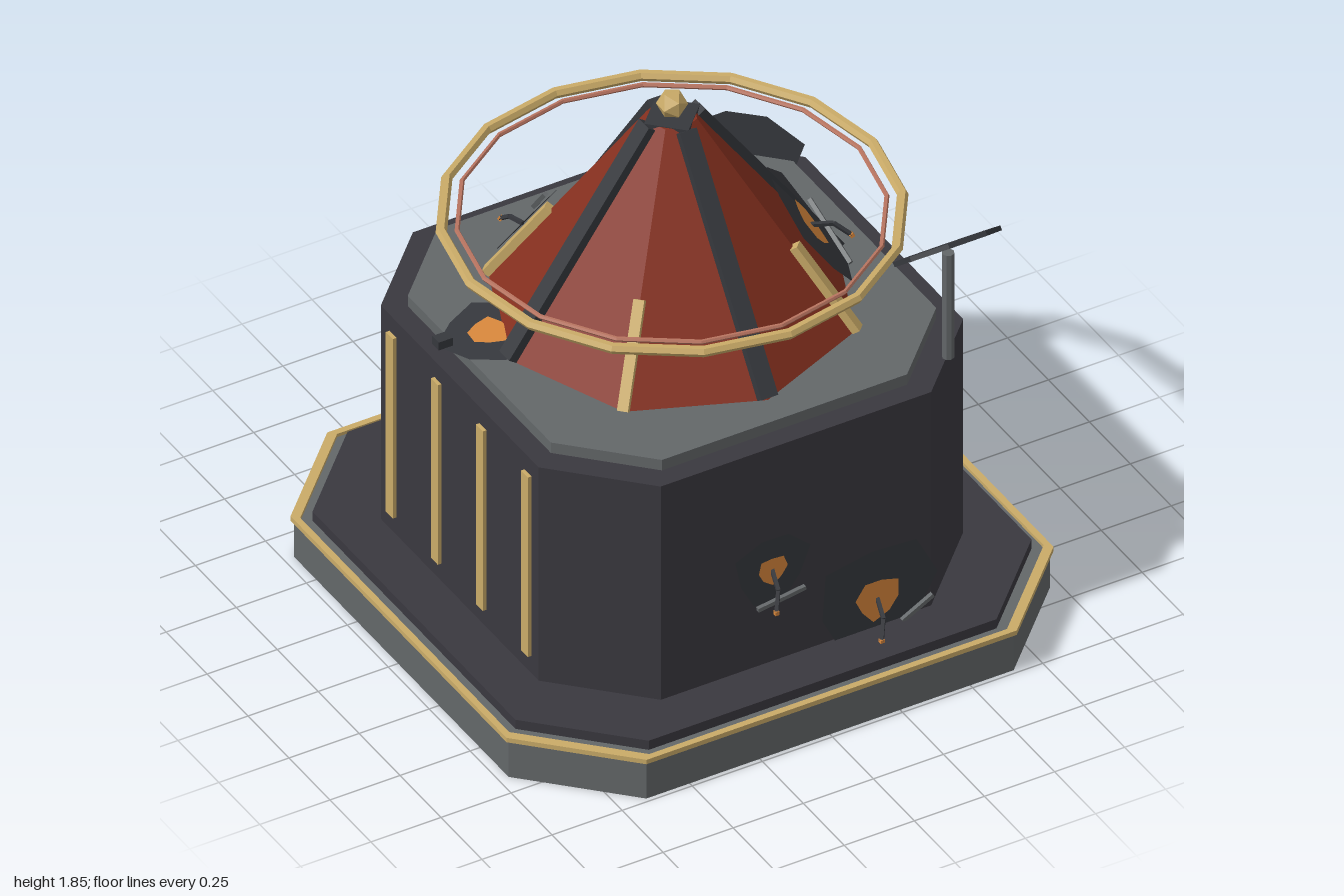
import * as THREE from 'three';

const mat = (name, color) => {
  const m = new THREE.MeshStandardMaterial({ color });
  m.name = name;
  m.flatShading = true;
  return m;
};

export function createModel() {
  const M = {
    charcoal: mat('charcoal wall', 0x3a383f),
    iron: mat('dark iron', 0x36383d),
    steel: mat('steel grey', 0x636769),
    gold: mat('gold trim', 0xcaab68),
    red: mat('red roof', 0x86301f),
    orange: mat('ember orange', 0xd8873c),
    copper: mat('copper', 0xb87460),
    pale: mat('pale metal', 0xa4a6a8),
  };
  const root = new THREE.Group();
  root.name = 'fortTower';
  const body = new THREE.Group();
  body.name = 'tower';
  body.position.z = 0.02;
  root.add(body);

  const add = (parent, name, geo, material, x = 0, y = 0, z = 0) => {
    const m = new THREE.Mesh(geo, material);
    m.name = name;
    m.position.set(x, y, z);
    parent.add(m);
    return m;
  };

  // Square outline with cut corners
  const outline = (h, c) => [
    [h, c - h], [h, h - c], [h - c, h], [c - h, h],
    [-h, h - c], [-h, c - h], [c - h, -h], [h - c, -h],
  ].map(([x, y]) => new THREE.Vector2(x, y));
  const prism = (name, h, c, y0, y1, material, inner) => {
    const shape = new THREE.Shape(outline(h, c));
    if (inner) shape.holes.push(new THREE.Path(outline(inner, c).reverse()));
    const geo = new THREE.ExtrudeGeometry(shape, { depth: y1 - y0, bevelEnabled: false });
    geo.rotateX(-Math.PI / 2);
    return add(body, name, geo, material, 0, y0);
  };
  // Straight bar between two points
  const beam = (parent, name, a, b, w, d, material) => {
    const p = new THREE.Vector3(...a), q = new THREE.Vector3(...b);
    const m = new THREE.Mesh(new THREE.BoxGeometry(w, d, p.distanceTo(q)), material);
    m.name = name;
    m.position.copy(p).lerp(q, 0.5);
    m.lookAt(q);
    parent.add(m);
    return m;
  };

  // Stacked tiers
  prism('base', 0.965, 0.31, 0, 0.145, M.steel);
  prism('baseTrim', 0.975, 0.315, 0.14, 0.157, M.gold, 0.953);
  prism('baseDeck', 0.92, 0.3, 0.145, 0.18, M.charcoal);
  prism('walls', 0.757, 0.275, 0.18, 1.0, M.charcoal);
  prism('roofPlate', 0.687, 0.25, 1.0, 1.04, M.steel);

  // Gold strips on both side walls
  for (const s of [-1, 1]) {
    for (let i = 0; i < 4; i++) {
      add(body, 'wallStrip', new THREE.BoxGeometry(0.02, 0.69, 0.043), M.gold,
        s * 0.76, 0.592, 0.417 - i * 0.275);
    }
  }

  // Eight-sided roof with iron and gold ribs
  add(body, 'roof', new THREE.CylinderGeometry(0.08, 0.585, 0.72, 8), M.red, 0, 1.4);
  for (let i = 0; i < 4; i++) {
    const a = i * Math.PI / 2, b = a + Math.PI / 4;
    const on = (ang, r, y) => [Math.cos(ang) * r, y, Math.sin(ang) * r];
    beam(body, 'roofRib', on(a, 0.58, 1.045), on(a, 0.082, 1.75), 0.06, 0.045, M.iron);
    beam(body, 'goldRib', on(b, 0.59, 1.045), on(b, 0.39, 1.33), 0.035, 0.03, M.gold);
  }
  add(body, 'roofCap', new THREE.CylinderGeometry(0.1, 0.1, 0.025, 4), M.iron, 0, 1.75);
  add(body, 'finial', new THREE.IcosahedronGeometry(0.05, 0), M.gold, 0, 1.803);

  // Floating rings
  const ring = (name, r, tube, material) =>
    add(body, name, new THREE.TorusGeometry(r, tube, 6, 16).rotateX(Math.PI / 2), material, 0, 1.38);
  ring('outerRing', 0.717, 0.018, M.gold);
  ring('innerRing', 0.668, 0.008, M.copper);

  // Dish on a pole
  add(root, 'dishPole', new THREE.CylinderGeometry(0.02, 0.02, 0.4, 8), M.steel, 0.62, 1.2, 0.645);
  const dish = add(root, 'dish', new THREE.CylinderGeometry(0.175, 0.175, 0.016, 8), M.iron, 0.62, 1.42, 0.64);
  dish.geometry.rotateY(Math.PI / 8);
  dish.rotation.x = -Math.atan2(0.22, 0.26);

  // Back door, copper lintel, step strip and latch
  add(root, 'door', new THREE.BoxGeometry(0.38, 0.34, 0.016), M.steel, 0, 0.42, -0.74);
  add(root, 'lintel', new THREE.BoxGeometry(0.35, 0.03, 0.014), M.copper, 0, 0.622, -0.754);
  add(root, 'baseStrip', new THREE.BoxGeometry(0.92, 0.022, 0.009), M.pale, 0, 0.05, -0.948);
  const latch = add(root, 'latch', new THREE.BoxGeometry(0.05, 0.03, 0.05), M.steel, 0.265, 0.026, -0.968);
  latch.rotation.y = 0.6;

  // Breach: irregular scorched plate, glowing core, bent pipe and loose bar
  const ragged = (r, seed) => {
    const pts = [];
    for (let i = 0; i < 8; i++) {
      const a = i * Math.PI / 4 + seed;
      const k = r * (0.93 + 0.13 * Math.sin(i * 2.4 + seed * 3));
      pts.push(new THREE.Vector2(Math.cos(a) * k, Math.sin(a) * k));
    }
    return new THREE.ShapeGeometry(new THREE.Shape(pts));
  };
  const scorch = M.iron.clone();
  scorch.side = THREE.DoubleSide;
  scorch.name = 'scorched iron';
  const breach = ({ p, n, r, core, bar, seed, pipe = true }) => {
    const g = new THREE.Group();
    g.name = 'breach';
    g.position.set(...p);
    g.lookAt(p[0] + n[0], p[1] + n[1], p[2] + n[2]);
    add(g, 'scorchPlate', ragged(r, seed), scorch);
    add(g, 'glowingCore', ragged(core, seed + 0.5), M.orange, 0, 0, 0.006);
    if (pipe) {
      const path = [[0, 0, 0], [-0.012, -0.04, 0.06], [-0.03, -0.105, 0.08]];
      const k = core > 0.07 || n[1] === 0 ? 1 : 0.75;
      const v = path.map((q) => q.map((c) => c * k));
      beam(g, 'pipe', v[0], v[1], 0.012, 0.012, M.iron);
      beam(g, 'pipe', v[1], v[2], 0.012, 0.012, M.iron);
      add(g, 'pipeTip', new THREE.BoxGeometry(0.014, 0.014, 0.014), M.orange, ...v[2]);
    }
    if (bar) beam(g, 'looseBar', [...bar[0], 0.015], [...bar[1], 0.015], 0.014, 0.014, M.steel);
    root.add(g);
  };
  const slope = 0.68;
  const roofBreach = (deg, dist, y, r, core, bar, seed) => {
    const a = deg * Math.PI / 180, c = Math.cos(a), s = Math.sin(a);
    breach({ p: [c * dist, y, s * dist + 0.02], n: [c, slope, s], r, core, bar, seed });
  };
  // Front wall
  breach({ p: [-0.09, 0.54, 0.784], n: [0, 0, 1], r: 0.14, core: 0.055,
    bar: [[-0.06, -0.125], [0.11, -0.1]], seed: 0.3 });
  breach({ p: [0.285, 0.29, 0.784], n: [0, 0, 1], r: 0.225, core: 0.083,
    bar: [[0.08, -0.11], [0.19, -0.05]], seed: 0.1 });
  // Roof
  roofBreach(15, 0.44, 1.25, 0.235, 0.09, [[-0.02, -0.2], [0.19, -0.07]], 0.2);
  roofBreach(-60, 0.43, 1.27, 0.155, 0.06, [[-0.13, 0.02], [-0.06, -0.09]], 0.7);
  roofBreach(-118, 0.54, 1.13, 0.15, 0.06, [[-0.13, -0.05], [-0.08, 0.08]], 1.1);
  // Back corner and roof plate
  breach({ p: [0.59, 1.02, -0.54], n: [1, 0, -1], r: 0.195, core: 0.07, seed: 0.4, pipe: false });
  breach({ p: [-0.57, 1.046, -0.12], n: [-0.05, 1, 0], r: 0.165, core: 0.07, seed: 0.6, pipe: false });
  add(root, 'debris', new THREE.BoxGeometry(0.05, 0.03, 0.04), M.iron, -0.725, 1.06, -0.14);

  return root;
}
